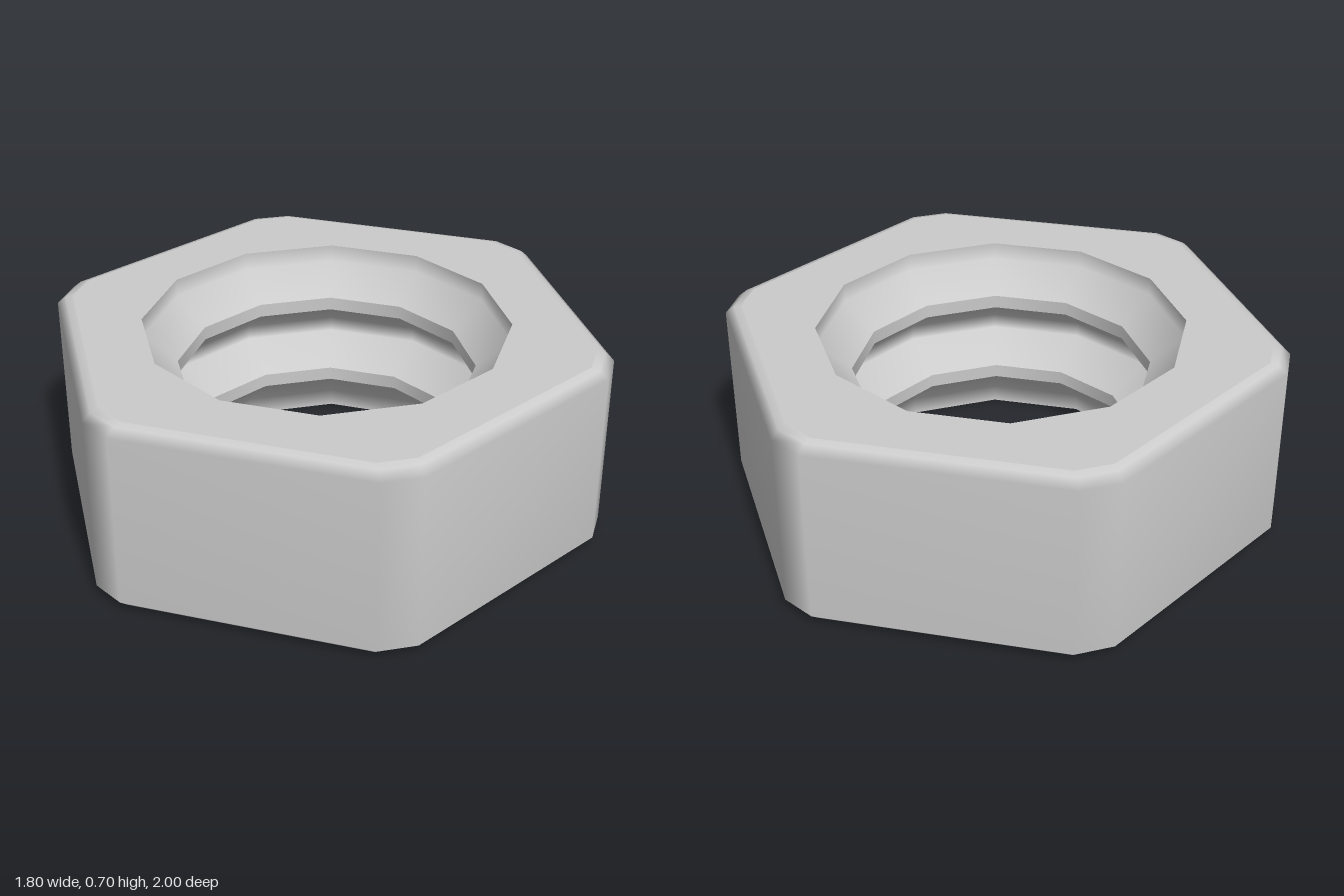
import * as THREE from 'three';

const HEIGHT = 0.705;
const HOLE = 0.65;
const SIDES = 12;
const material = new THREE.MeshStandardMaterial({ color: 0xcccccc });

// Hexagon with clipped corners, counter-clockwise seen from above (x, z)
const outline = [
  [-0.065, 1], [0.065, 1], [0.83, 0.56], [0.9, 0.44], [0.9, -0.44], [0.83, -0.56],
  [0.065, -1], [-0.065, -1], [-0.83, -0.56], [-0.9, -0.44], [-0.9, 0.44], [-0.83, 0.56],
];

// Rounded rim profile: height and scale of each outline ring
const rings = [
  [0, 0.94], [0.008, 0.968], [0.035, 1],
  [HEIGHT - 0.035, 1], [HEIGHT - 0.008, 0.968], [HEIGHT, 0.94],
];

function sideGeometry() {
  const positions = [], index = [], n = outline.length;
  rings.forEach(([y, s], r) => {
    outline.forEach(([x, z], i) => {
      positions.push(x * s, y, z * s);
      if (r === rings.length - 1) return;
      const a = r * n + i, b = r * n + (i + 1) % n;
      index.push(a, b, b + n, a, b + n, a + n);
    });
  });
  const geometry = new THREE.BufferGeometry();
  geometry.setAttribute('position', new THREE.Float32BufferAttribute(positions, 3));
  geometry.setIndex(index);
  geometry.computeVertexNormals();
  return geometry;
}

// Flat hexagonal face with the twelve-sided opening
function faceGeometry() {
  const s = rings[0][1];
  const shape = new THREE.Shape(outline.map(([x, z]) => new THREE.Vector2(x * s, z * s)));
  const hole = [];
  for (let i = 0; i < SIDES; i++) {
    const a = ((i + 0.5) / SIDES) * Math.PI * 2;
    hole.push(new THREE.Vector2(Math.sin(a) * HOLE, Math.cos(a) * HOLE));
  }
  shape.holes.push(new THREE.Path(hole));
  return new THREE.ShapeGeometry(shape);
}

// Inward-facing band, listed from top to bottom as [radius, height]
function bandGeometry(profile) {
  const points = profile.map(([r, y]) => new THREE.Vector2(r, y));
  return new THREE.LatheGeometry(points, SIDES, Math.PI / SIDES, Math.PI * 2);
}

export function createModel() {
  const group = new THREE.Group();
  group.name = 'hexNut';
  const add = (name, geometry) => {
    const mesh = new THREE.Mesh(geometry, material);
    mesh.name = name;
    group.add(mesh);
    return mesh;
  };

  // Outer body
  add('hexSides', sideGeometry());
  const top = add('topFace', faceGeometry());
  top.rotation.x = -Math.PI / 2;
  top.position.y = HEIGHT;
  add('bottomFace', faceGeometry()).rotation.x = Math.PI / 2;

  // Thread: three smooth grooves separated by two ridges with crisp crests
  const upper = 0.53, lower = 0.5;
  add('topGroove', bandGeometry([[HOLE, HEIGHT], [HOLE, 0.64], [upper, 0.54]]));
  add('upperCrest', bandGeometry([[upper, 0.54], [upper, 0.49]]));
  add('middleGroove', bandGeometry([[upper, 0.49], [0.64, 0.4], [0.64, 0.345], [lower, 0.25]]));
  add('lowerCrest', bandGeometry([[lower, 0.25], [lower, 0.2]]));
  add('bottomGroove', bandGeometry([[lower, 0.2], [HOLE, 0.065], [HOLE, 0]]));

  return group;
}
